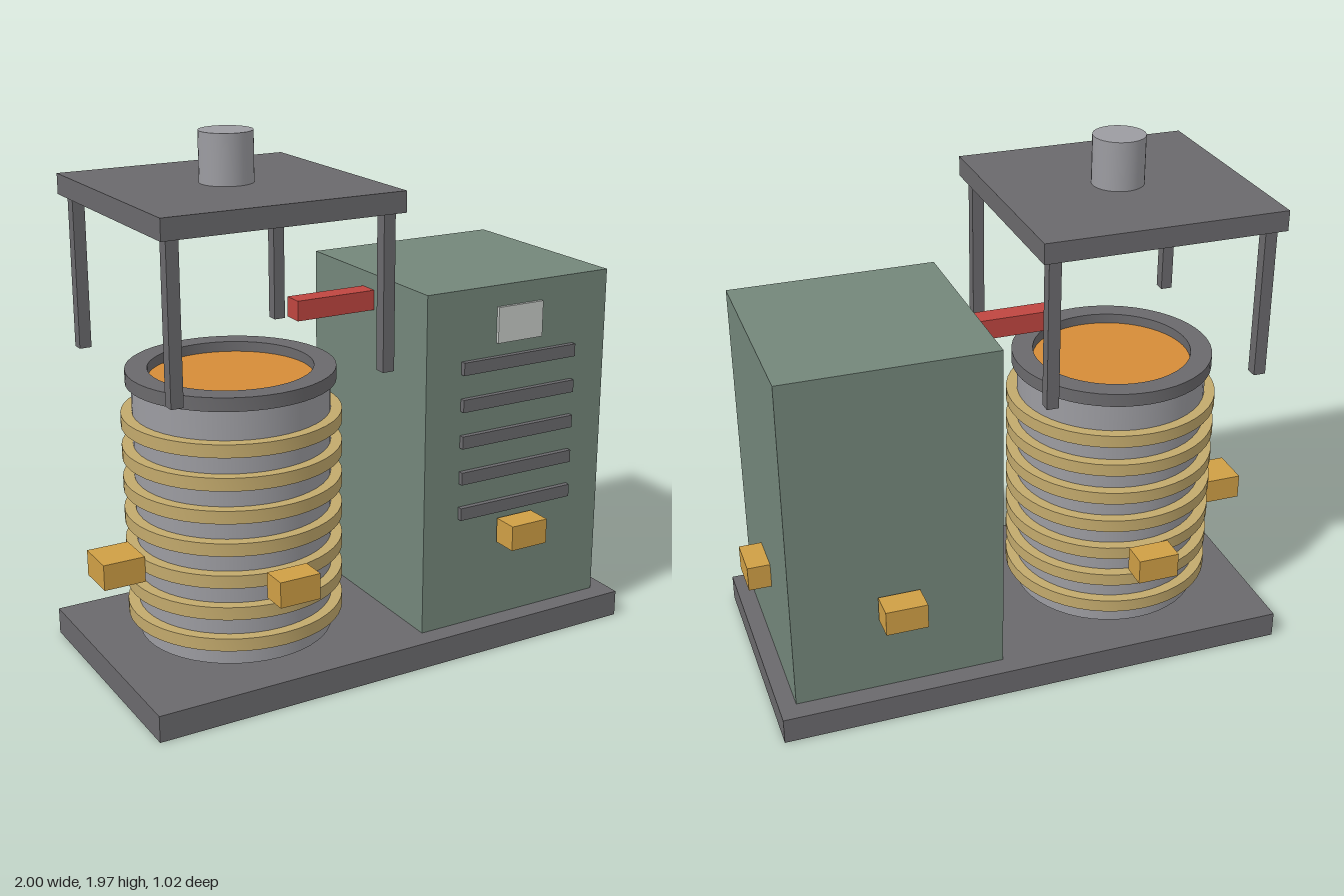
import * as THREE from 'three';
import { toCreasedNormals } from 'three/addons/utils/BufferGeometryUtils.js';

const material = (name, color) => {
  const m = new THREE.MeshStandardMaterial({ color });
  m.name = name;
  return m;
};

export function createModel() {
  const model = new THREE.Group();
  model.name = 'inductionFurnace';

  const darkSteel = material('dark steel', 0x6a696c);
  const lightSteel = material('light steel', 0x9c9ca1);
  const cabinetGreen = material('cabinet green', 0x73867a);
  const copper = material('coil tan', 0xc2a96c);
  const brass = material('terminal gold', 0xcf9f45);
  const red = material('arm red', 0xbf4640);
  const molten = material('molten orange', 0xd58c38);
  const panelGrey = material('panel grey', 0xc6cac6);

  const add = (name, geometry, mat, x, y, z) => {
    const mesh = new THREE.Mesh(geometry, mat);
    mesh.name = name;
    mesh.position.set(x, y, z);
    model.add(mesh);
    return mesh;
  };
  // Box given by its minimum and maximum corners
  const box = (name, mat, [x0, x1], [y0, y1], [z0, z1]) =>
    add(name, new THREE.BoxGeometry(x1 - x0, y1 - y0, z1 - z0), mat,
      (x0 + x1) / 2, (y0 + y1) / 2, (z0 + z1) / 2);
  // Ring with a rectangular section
  const ring = (name, mat, inner, outer, y0, y1) => {
    const profile = [[inner, y0], [outer, y0], [outer, y1], [inner, y1], [inner, y0]]
      .map(([r, y]) => new THREE.Vector2(r, y));
    return add(name, toCreasedNormals(new THREE.LatheGeometry(profile, 48), 0.6), mat, potX, 0, 0);
  };

  const potX = -0.453;
  const cabinetX = 0.518;

  // Base slab and power cabinet
  box('base', darkSteel, [-0.98, 0.98], [0, 0.1], [-0.477, 0.477]);
  box('cabinet', cabinetGreen, [0.12, 0.915], [0.1, 1.4], [-0.4, 0.4]);
  box('displayPanel', panelGrey, [0.42, 0.616], [1.185, 1.32], [0.4, 0.412]);
  for (let i = 0; i < 5; i++) {
    const y = 0.552 + i * 0.14;
    box('vent', darkSteel, [0.27, 0.766], [y - 0.024, y + 0.024], [0.395, 0.42]);
  }

  // Crucible with its rim, melt and coil turns
  add('crucible', new THREE.CylinderGeometry(0.357, 0.357, 0.95, 48), lightSteel, potX, 0.605, 0);
  ring('crucibleRim', darkSteel, 0.298, 0.378, 1.08, 1.13);
  add('melt', new THREE.CylinderGeometry(0.3, 0.3, 0.02, 48), molten, potX, 1.082, 0);
  for (let i = 0; i < 7; i++) {
    const y = 0.223 + i * 0.1205;
    ring('coilTurn', copper, 0.35, 0.398, y - 0.024, y + 0.024);
  }

  // Fume hood: plate, four hangers and a flue
  box('hoodPlate', darkSteel, [-0.902, -0.003], [1.715, 1.79], [-0.45, 0.45]);
  for (const sx of [-1, 1]) {
    for (const sz of [-1, 1]) {
      add('hoodPost', new THREE.BoxGeometry(0.045, 0.56, 0.045), darkSteel,
        potX + sx * 0.4, 1.435, sz * 0.402);
    }
  }
  add('flue', new THREE.CylinderGeometry(0.096, 0.096, 0.18, 32), lightSteel, potX, 1.88, 0);

  // Power arm from the cabinet towards the crucible
  box('powerArm', red, [-0.2, 0.12], [1.265, 1.34], [-0.04, 0.04]);

  // Terminal blocks around the sides
  for (const side of [-1, 1]) {
    for (const x of [potX, cabinetX]) {
      add('terminal', new THREE.BoxGeometry(0.156, 0.096, 0.1), brass, x, 0.453, side * 0.461);
    }
    add('endTerminal', new THREE.BoxGeometry(0.156, 0.096, 0.156), brass, side * 0.922, 0.453, 0);
  }

  return model;
}
